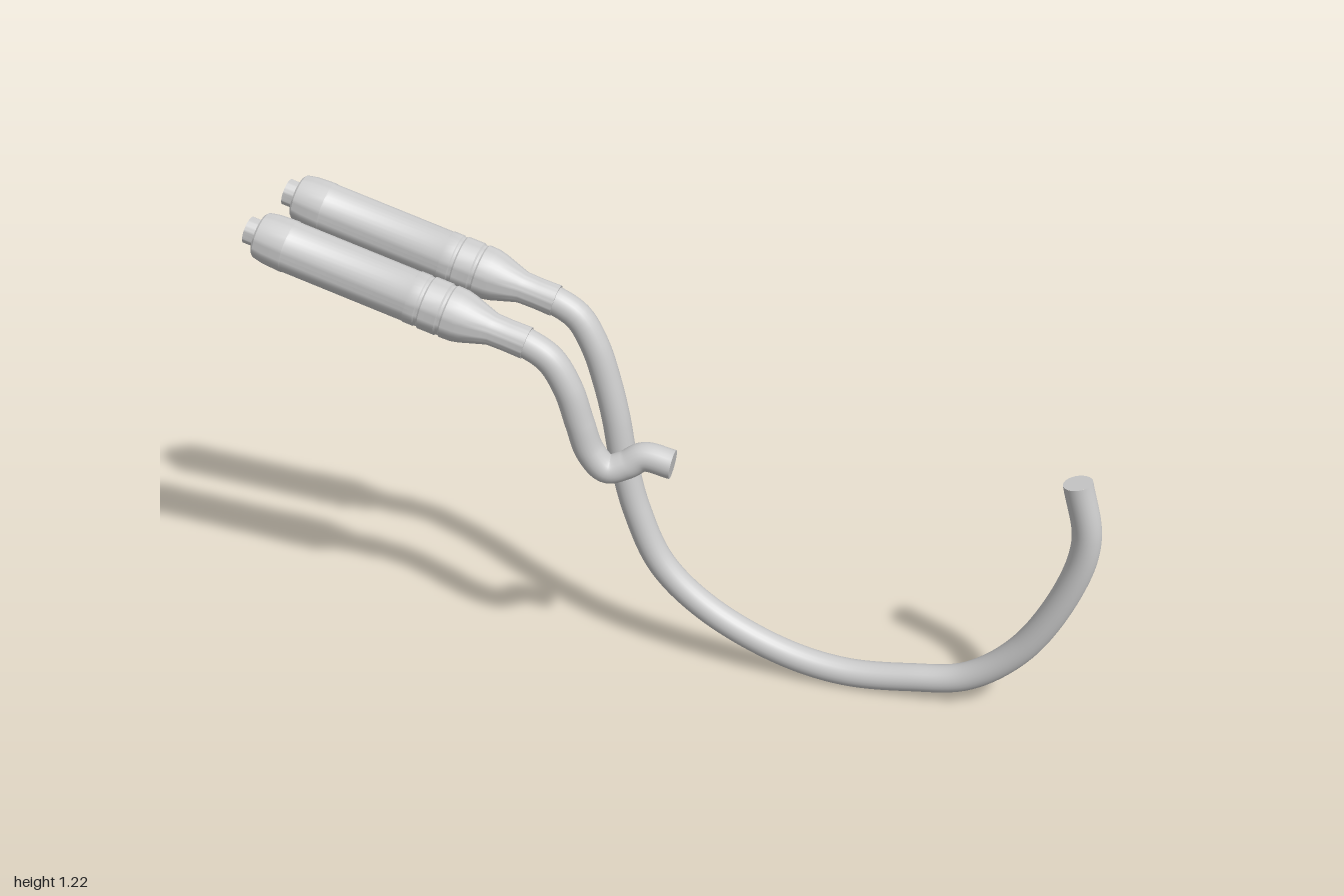
import * as THREE from 'three';
import { toCreasedNormals } from 'three/addons/utils/BufferGeometryUtils.js';

const PIPE_RADIUS = 0.035;

export function createModel() {
  const steel = new THREE.MeshStandardMaterial({ color: 0xcccccc });
  steel.name = 'brushed steel';
  const model = new THREE.Group();
  model.name = 'twinExhaust';

  // Silencer axis: from the open tip down to the pipe joint
  const tip = new THREE.Vector2(-0.995, 1.185);
  const joint = new THREE.Vector2(-0.33, 0.976);
  const axis = joint.clone().sub(tip).normalize();

  // Silencer profile as [radius, distance from tip]: bore, outlet, end cap, body, clamps, cone, collar
  const profile = [
    [0, 0.09], [0.026, 0.09], [0.026, 0], [0.032, 0], [0.032, 0.034],
    [0.05, 0.03], [0.055, 0.035], [0.06, 0.06], [0.0625, 0.105], [0.061, 0.108],
    [0.061, 0.41], [0.0625, 0.413], [0.0625, 0.437], [0.0605, 0.44], [0.0605, 0.446],
    [0.0635, 0.45], [0.0635, 0.49], [0.0605, 0.494], [0.0605, 0.5],
    [0.0635, 0.504], [0.0625, 0.53], [0.058, 0.55], [0.042, 0.6], [0.0385, 0.612],
    [0.0375, 0.65], [0.0385, 0.697], [0, 0.697],
  ].map(([r, s]) => new THREE.Vector2(r, s));
  const silencerGeometry = toCreasedNormals(new THREE.LatheGeometry(profile, 40), 0.5);

  function addSilencer(name, z) {
    const silencer = new THREE.Mesh(silencerGeometry, steel);
    silencer.name = name;
    silencer.position.set(tip.x, tip.y, z);
    silencer.quaternion.setFromUnitVectors(
      new THREE.Vector3(0, 1, 0), new THREE.Vector3(axis.x, axis.y, 0));
    model.add(silencer);
  }

  // Bent pipe with a flat disc closing its free end
  function addPipe(name, points, segments) {
    const curve = new THREE.CatmullRomCurve3(points.map((p) => new THREE.Vector3(...p)));
    const pipe = new THREE.Group();
    pipe.name = name;
    const tube = new THREE.Mesh(new THREE.TubeGeometry(curve, segments, PIPE_RADIUS, 24), steel);
    tube.name = name + 'Tube';
    const cap = new THREE.Mesh(new THREE.CircleGeometry(PIPE_RADIUS, 24), steel);
    cap.name = name + 'End';
    cap.position.copy(curve.getPointAt(1));
    cap.quaternion.setFromUnitVectors(new THREE.Vector3(0, 0, 1), curve.getTangentAt(1));
    pipe.add(tube, cap);
    model.add(pipe);
  }

  addSilencer('rearSilencer', -0.115);
  addSilencer('frontSilencer', 0.113);

  // Long header sweeping under and up to the far end
  addPipe('longPipe', [
    [-0.35, 0.982, -0.115], [-0.325, 0.973, -0.115], [-0.275, 0.94, -0.115],
    [-0.235, 0.869, -0.114], [-0.206, 0.773, -0.114], [-0.186, 0.682, -0.113],
    [-0.168, 0.564, -0.113], [-0.136, 0.43, -0.112], [-0.072, 0.281, -0.111],
    [0.045, 0.168, -0.109], [0.233, 0.074, -0.105], [0.398, 0.041, -0.101],
    [0.57, 0.054, -0.098], [0.709, 0.085, -0.094], [0.837, 0.195, -0.088],
    [0.939, 0.398, -0.082], [0.963, 0.532, -0.079], [0.93, 0.679, -0.076],
  ], 140);

  // Short header with a tight hook at the bottom
  addPipe('shortPipe', [
    [-0.35, 0.982, 0.113], [-0.325, 0.973, 0.113], [-0.275, 0.94, 0.113],
    [-0.235, 0.869, 0.111], [-0.21, 0.78, 0.107], [-0.188, 0.705, 0.102],
    [-0.15, 0.661, 0.097], [-0.105, 0.672, 0.086], [-0.065, 0.694, 0.078],
    [0.005, 0.683, 0.078],
  ], 80);

  return model;
}
